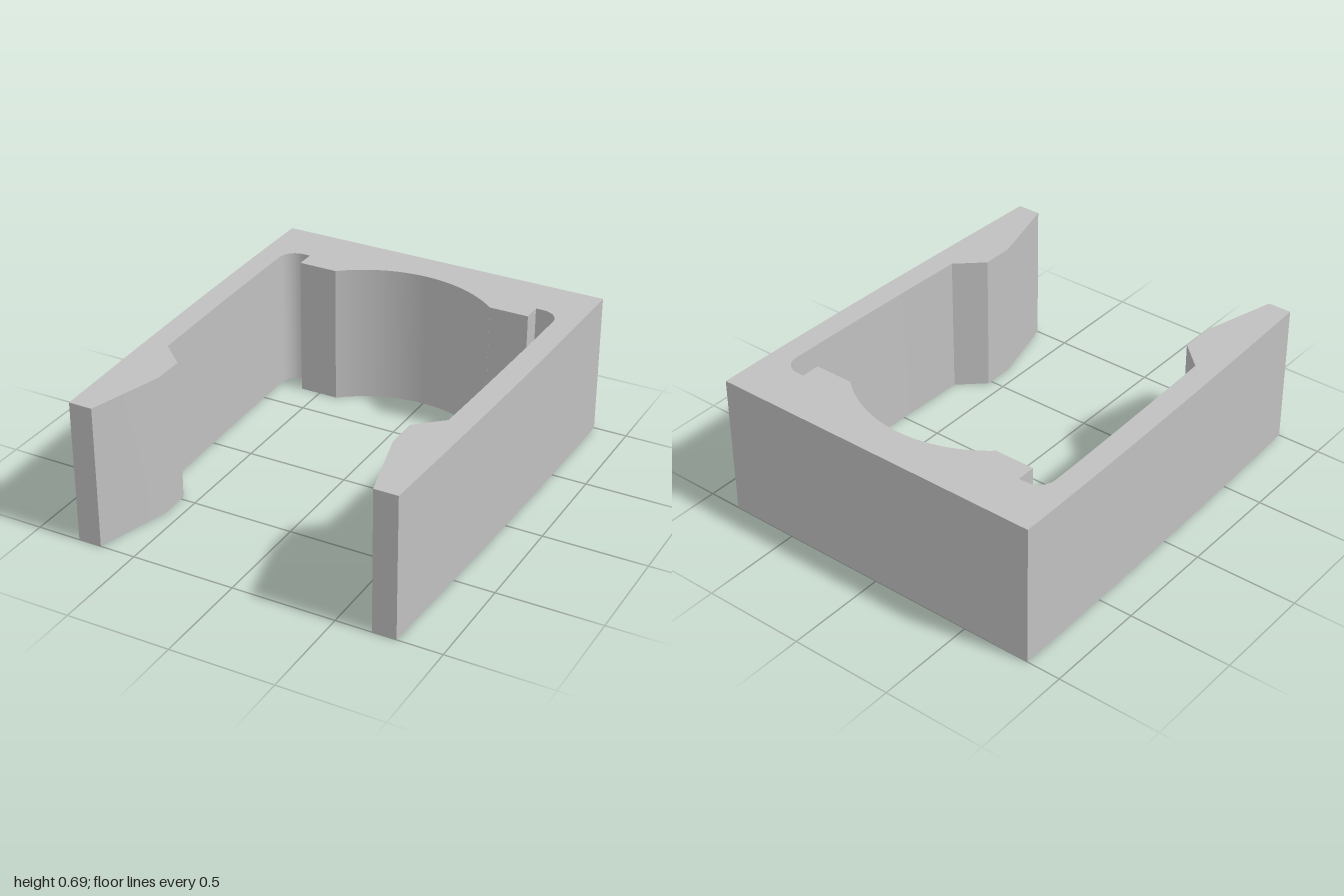
import * as THREE from 'three';
import { toCreasedNormals } from 'three/addons/utils/BufferGeometryUtils.js';

const HEIGHT = 0.695;

// Half of the plan outline (+x side), drawn with shape y = -z
function halfOutline() {
  const p = new THREE.Path();
  p.moveTo(0, 1);
  p.lineTo(0.835, 1);
  // slightly bowed outer side of the arm
  p.quadraticCurveTo(0.835, 0.2, 0.787, -1);
  // hooked tip
  p.lineTo(0.673, -1);
  p.lineTo(0.573, -0.635);
  p.lineTo(0.573, -0.48);
  p.lineTo(0.697, -0.365);
  // bowed inner side of the arm
  p.quadraticCurveTo(0.717, 0.2, 0.722, 0.675);
  // rounded relief slot at the root
  p.absarc(0.637, 0.675, 0.085, 0, Math.PI / 2, false);
  p.lineTo(0.6, 0.76);
  p.lineTo(0.6, 0.668);
  p.lineTo(0.407, 0.668);
  // shallow round seat, ending on the centre line
  const radius = 0.62, centre = 0.2;
  const start = Math.atan2(0.668 - centre, 0.407);
  p.absarc(0, centre, radius, start, Math.PI / 2, false);
  return p.getPoints(16);
}

export function createModel() {
  const grey = new THREE.MeshStandardMaterial({ color: 0xc0c0c0 });
  grey.name = 'light grey';

  // Mirror the half outline, leaving out its two points on the centre line
  const half = halfOutline();
  const mirrored = half.slice(1, -1).reverse().map((v) => new THREE.Vector2(-v.x, v.y));
  const shape = new THREE.Shape([...half, ...mirrored]);

  const extruded = new THREE.ExtrudeGeometry(shape, { depth: HEIGHT, bevelEnabled: false });
  extruded.rotateX(-Math.PI / 2);
  const clip = new THREE.Mesh(toCreasedNormals(extruded, 0.5), grey);
  clip.name = 'clipBody';

  const group = new THREE.Group();
  group.name = 'snapClip';
  group.add(clip);
  return group;
}
